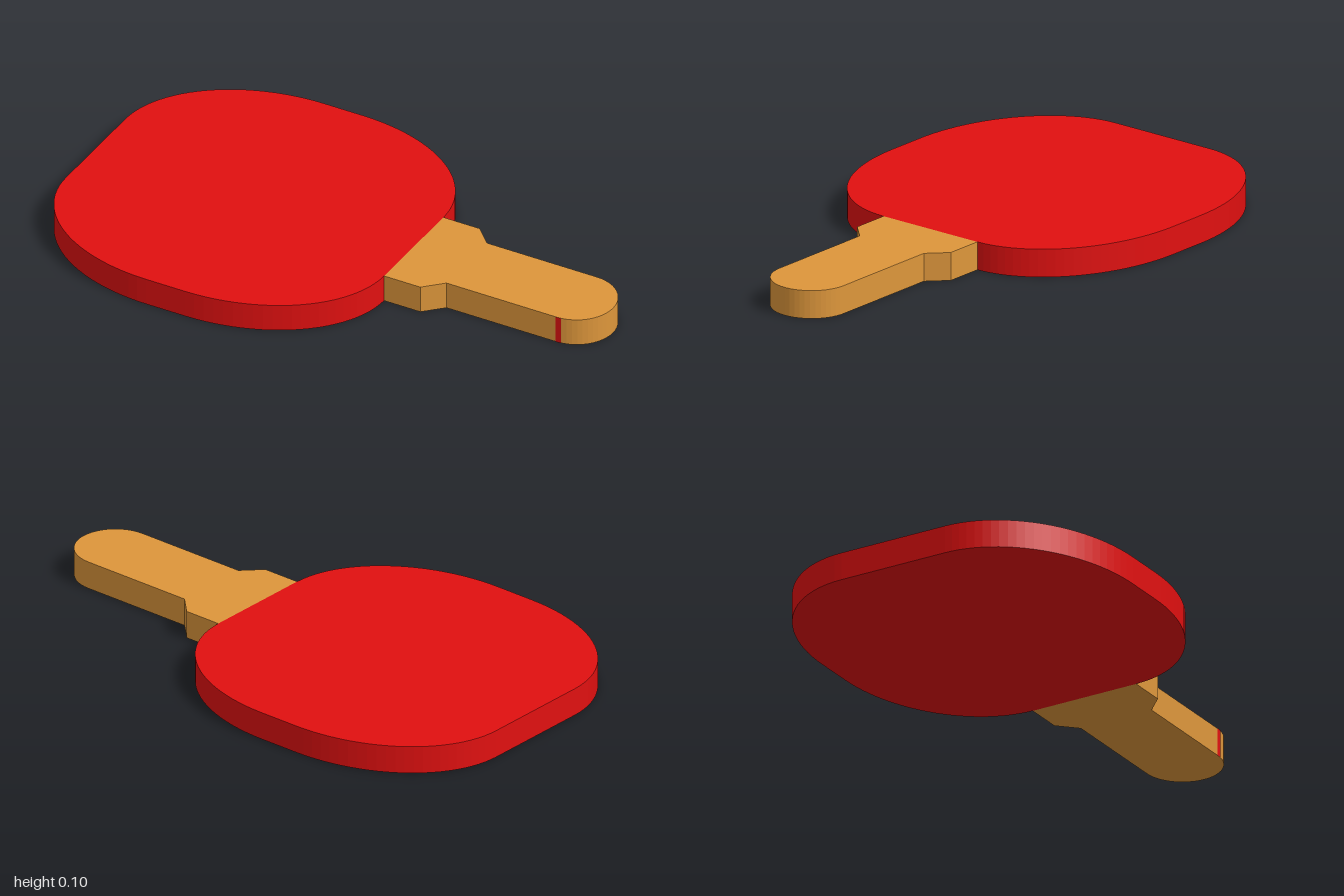
import * as THREE from 'three';

const THICKNESS = 0.1;
const red = new THREE.MeshStandardMaterial({ color: 0xe01010 });
const wood = new THREE.MeshStandardMaterial({ color: 0xdd963b });

// Lays a plan outline flat on the ground and gives it the common thickness
function slab(name, shape, material) {
  const geometry = new THREE.ExtrudeGeometry(shape, {
    depth: THICKNESS, bevelEnabled: false, curveSegments: 12,
  });
  geometry.rotateX(-Math.PI / 2);
  const mesh = new THREE.Mesh(geometry, material);
  mesh.name = name;
  return mesh;
}

// Blade: flat ends joined by elliptical corners
function bladeShape() {
  const cx = -0.385, halfX = 0.615, halfZ = 0.615, flatX = 0.075, flatZ = 0.205;
  const rx = halfX - flatX, rz = halfZ - flatZ;
  const shape = new THREE.Shape();
  shape.moveTo(cx + halfX, -flatZ);
  [[1, 1], [-1, 1], [-1, -1], [1, -1]].forEach(([sx, sz], i) => {
    const start = i * Math.PI / 2;
    shape.absellipse(cx + sx * flatX, sz * flatZ, rx, rz, start, start + Math.PI / 2, false);
  });
  return shape;
}

// Handle: wide neck, chamfered shoulders, straight grip and round end
function handleShape() {
  const shape = new THREE.Shape();
  shape.moveTo(0.23, -0.205);
  shape.lineTo(0.37, -0.205);
  shape.lineTo(0.435, -0.14);
  shape.lineTo(0.86, -0.14);
  shape.absarc(0.86, 0, 0.14, -Math.PI / 2, Math.PI / 2, false);
  shape.lineTo(0.435, 0.14);
  shape.lineTo(0.37, 0.205);
  shape.lineTo(0.23, 0.205);
  return shape;
}

export function createModel() {
  const group = new THREE.Group();
  group.name = 'paddle';
  group.add(slab('blade', bladeShape(), red));
  group.add(slab('handle', handleShape(), wood));

  // Narrow red band on the front side of the grip
  const band = new THREE.Mesh(new THREE.PlaneGeometry(0.02, THICKNESS), red);
  band.name = 'gripBand';
  band.position.set(0.867, THICKNESS / 2, 0.1405);
  group.add(band);
  return group;
}
